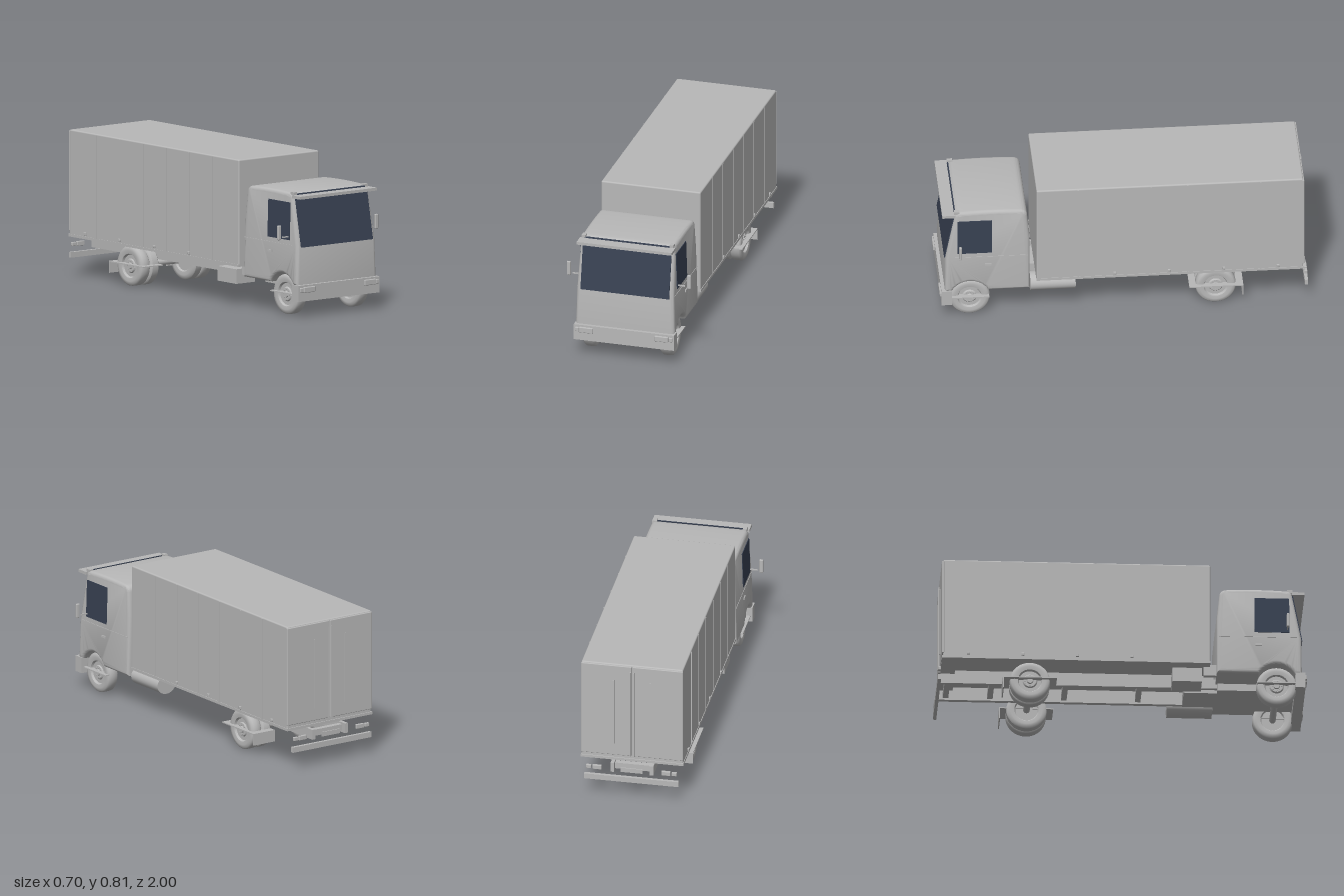
import * as THREE from 'three';
import { toCreasedNormals } from 'three/addons/utils/BufferGeometryUtils.js';
import { RoundedBoxGeometry } from 'three/addons/geometries/RoundedBoxGeometry.js';

const paint = new THREE.MeshStandardMaterial({ color: 0xb8b8b8 });
paint.name = 'grey paint';
const glass = new THREE.MeshStandardMaterial({ color: 0x384152 });
glass.name = 'dark glass';

export function createModel() {
  const truck = new THREE.Group();
  truck.name = 'boxTruck';

  const add = (name, geo, mat = paint) => {
    const mesh = new THREE.Mesh(geo, mat);
    mesh.name = name;
    truck.add(mesh);
    return mesh;
  };
  // Box given by its minimum and maximum on each axis, with optional rounding
  const boxGeo = (x0, x1, y0, y1, z0, z1, r = 0) => {
    const size = [x1 - x0, y1 - y0, z1 - z0];
    const geo = r ? new RoundedBoxGeometry(...size, 3, r) : new THREE.BoxGeometry(...size);
    return geo.translate((x0 + x1) / 2, (y0 + y1) / 2, (z0 + z1) / 2);
  };
  const box = (name, x0, x1, y0, y1, z0, z1, r) => add(name, boxGeo(x0, x1, y0, y1, z0, z1, r));
  const pair = (name, x0, x1, y0, y1, z0, z1, r) => {
    box(name + 'Left', x0, x1, y0, y1, z0, z1, r);
    box(name + 'Right', -x1, -x0, y0, y1, z0, z1, r);
  };
  // The cab narrows slightly towards the roof
  const taper = (geo) => {
    const p = geo.attributes.position;
    for (let i = 0; i < p.count; i++) {
      p.setX(i, p.getX(i) * (1 - 0.11 * Math.max(0, p.getY(i) - 0.18)));
    }
    geo.computeVertexNormals();
    return geo;
  };

  // Cab: side profile with wheel arch, extruded across the width
  const side = new THREE.Shape();
  side.moveTo(0.51, 0.17);
  side.lineTo(0.51, 0.5);
  side.lineTo(0.524, 0.64);
  side.quadraticCurveTo(0.528, 0.668, 0.56, 0.672);
  side.quadraticCurveTo(0.72, 0.682, 0.885, 0.672);
  side.quadraticCurveTo(0.912, 0.67, 0.917, 0.65);
  side.lineTo(0.968, 0.385);
  side.lineTo(0.971, 0.17);
  side.absarc(0.835, 0.115, 0.112, 0.513, Math.PI - 0.513, false);
  side.closePath();
  const cab = new THREE.ExtrudeGeometry(side, {
    depth: 0.52, curveSegments: 14,
    bevelThickness: 0.02, bevelSize: 0.02, bevelOffset: -0.02, bevelSegments: 4,
  });
  cab.translate(0, 0, -0.26).rotateY(-Math.PI / 2);
  add('cab', toCreasedNormals(taper(cab), 0.6));
  box('engineBay', -0.13, 0.13, 0.13, 0.24, 0.52, 0.94);

  // Windscreen, leaning with the cab front
  const screen = boxGeo(-0.25, 0.25, 0.38, 0.668, -0.003, 0.003);
  const sp = screen.attributes.position;
  for (let i = 0; i < sp.count; i++) {
    sp.setZ(i, sp.getZ(i) + 0.971 - (sp.getY(i) - 0.38) * 0.192);
  }
  screen.computeVertexNormals();
  add('windscreen', screen, glass);

  // Cab side details
  for (const s of [1, -1]) {
    const inner = s * 0.281;
    const plate = (name, y0, y1, z0, z1, t, mat) =>
      add(name, taper(boxGeo(inner - t / 2, inner + t / 2, y0, y1, z0, z1)), mat);
    plate('sideWindow', 0.415, 0.62, 0.715, 0.902, 0.006, glass);
    plate('beltLine', 0.386, 0.39, 0.52, 0.945, 0.003, paint);
    plate('doorHandle', 0.335, 0.347, 0.72, 0.755, 0.01, paint);
  }
  pair('mirror', 0.328, 0.35, 0.42, 0.5, 0.885, 0.899, 0.005);
  pair('mirrorArm', 0.26, 0.318, 0.43, 0.437, 0.889, 0.895);

  // Sun visor and its brackets
  box('sunVisor', -0.268, 0.268, 0.645, 0.661, 0.915, 0.985);
  pair('visorBracket', 0.237, 0.259, 0.66, 0.677, 0.89, 0.92);

  // Front bumper and lamps
  box('frontBumper', -0.283, 0.283, 0.088, 0.176, 0.935, 0.99);
  pair('headlight', 0.173, 0.251, 0.135, 0.166, 0.98, 1.0, 0.004);
  pair('indicator', 0.252, 0.275, 0.139, 0.163, 0.98, 0.998, 0.004);

  // Cargo body with panel ribs and base rim
  box('cargoBody', -0.28, 0.28, 0.22, 0.805, -0.972, 0.475, 0.008);
  box('cargoRim', -0.283, 0.283, 0.22, 0.234, -0.978, 0.475);
  for (let i = 0; i < 6; i++) {
    const z = 0.25 - i * 0.198;
    pair('panelRib', 0.279, 0.283, 0.234, 0.798, z - 0.004, z + 0.004);
  }
  for (const z of [0.05, -0.245, -0.54, -0.835]) {
    pair('sideMarker', 0.278, 0.288, 0.241, 0.257, z - 0.008, z + 0.008, 0.003);
  }

  // Rear doors with lock bars
  pair('rearDoor', 0.002, 0.281, 0.25, 0.798, -0.978, -0.965, 0.004);
  pair('outerLockBar', 0.097, 0.105, 0.32, 0.71, -0.984, -0.975);
  pair('innerLockBar', 0.006, 0.013, 0.25, 0.765, -0.984, -0.975);

  // Chassis
  pair('chassisRail', 0.098, 0.118, 0.145, 0.2, -0.96, 0.9);
  for (const z of [0.48, 0.1, -0.3, -0.7, -0.94]) {
    box('crossMember', -0.1, 0.1, 0.155, 0.19, z - 0.015, z + 0.015);
  }
  pair('bodySupport', 0.098, 0.118, 0.199, 0.222, -0.9, 0.5);
  box('batteryBox', -0.26, -0.13, 0.12, 0.2, 0.27, 0.43);
  box('airIntake', -0.23, -0.205, 0.17, 0.235, 0.44, 0.52);
  box('gearbox', -0.09, 0.09, 0.13, 0.19, 0.34, 0.53);
  const tank = new THREE.CylinderGeometry(0.05, 0.05, 0.245, 32).rotateX(Math.PI / 2);
  add('fuelTank', tank.scale(1.2, 1, 1).translate(0.2, 0.17, 0.383));

  // Rear bumper, lamps and plate
  box('rearBumper', -0.26, 0.26, 0.1, 0.13, -1.0, -0.982);
  pair('rearLamp', 0.165, 0.215, 0.16, 0.185, -0.997, -0.982, 0.003);
  pair('rearIndicator', 0.222, 0.25, 0.162, 0.183, -0.997, -0.982, 0.003);
  pair('rearBracket', 0.098, 0.118, 0.145, 0.2, -0.98, -0.955);
  box('numberPlate', -0.06, 0.06, 0.155, 0.18, -0.99, -0.984);

  // Wheels: one closed profile of radius and width, turned about the axle
  const wheelGeo = (w) => {
    const h = w / 2;
    const profile = [
      [0, -h * 0.6], [0.06, -h * 0.6], [0.066, -h * 0.9], [0.085, -h], [0.101, -h * 0.92],
      [0.109, -h * 0.65], [0.11, 0], [0.109, h * 0.65], [0.101, h * 0.92], [0.085, h],
      [0.066, h * 0.9], [0.06, h * 0.55], [0.04, h * 0.55], [0.034, h * 0.75],
      [0.018, h * 0.75], [0.015, h * 0.95], [0, h * 0.95],
    ].map(([r, y]) => new THREE.Vector2(r, y));
    return toCreasedNormals(new THREE.LatheGeometry(profile, 40), 0.7);
  };
  const wheel = (name, x, z, w) => {
    for (const s of [1, -1]) {
      const group = new THREE.Group();
      group.name = name + (s > 0 ? 'Left' : 'Right');
      group.position.set(s * x, 0.11, z);
      group.rotation.z = -s * Math.PI / 2;
      group.add(new THREE.Mesh(wheelGeo(w), paint));
      group.children[0].name = 'tyreAndRim';
      // Wheel nuts
      for (let i = 0; i < 8; i++) {
        const a = i * Math.PI / 4;
        const nut = new THREE.Mesh(new THREE.CylinderGeometry(0.004, 0.004, 0.006, 6), paint);
        nut.name = 'wheelNut';
        nut.position.set(Math.cos(a) * 0.027, w * 0.385, Math.sin(a) * 0.027);
        group.add(nut);
      }
      truck.add(group);
    }
  };
  wheel('frontWheel', 0.217, 0.835, 0.066);
  wheel('rearOuterWheel', 0.217, -0.5, 0.066);
  wheel('rearInnerWheel', 0.153, -0.5, 0.06);
  for (const z of [0.835, -0.5]) {
    const axle = new THREE.CylinderGeometry(0.018, 0.018, 0.4, 16).rotateZ(Math.PI / 2);
    add('axle', axle.translate(0, 0.11, z));
  }

  // Mudguards and flaps
  pair('rearMudguard', 0.13, 0.27, 0.117, 0.123, -0.645, -0.355);
  pair('rearMudflap', 0.13, 0.27, 0.058, 0.123, -0.648, -0.642);
  pair('frontMudguard', 0.19, 0.27, 0.117, 0.123, 0.73, 0.94);

  return truck;
}
